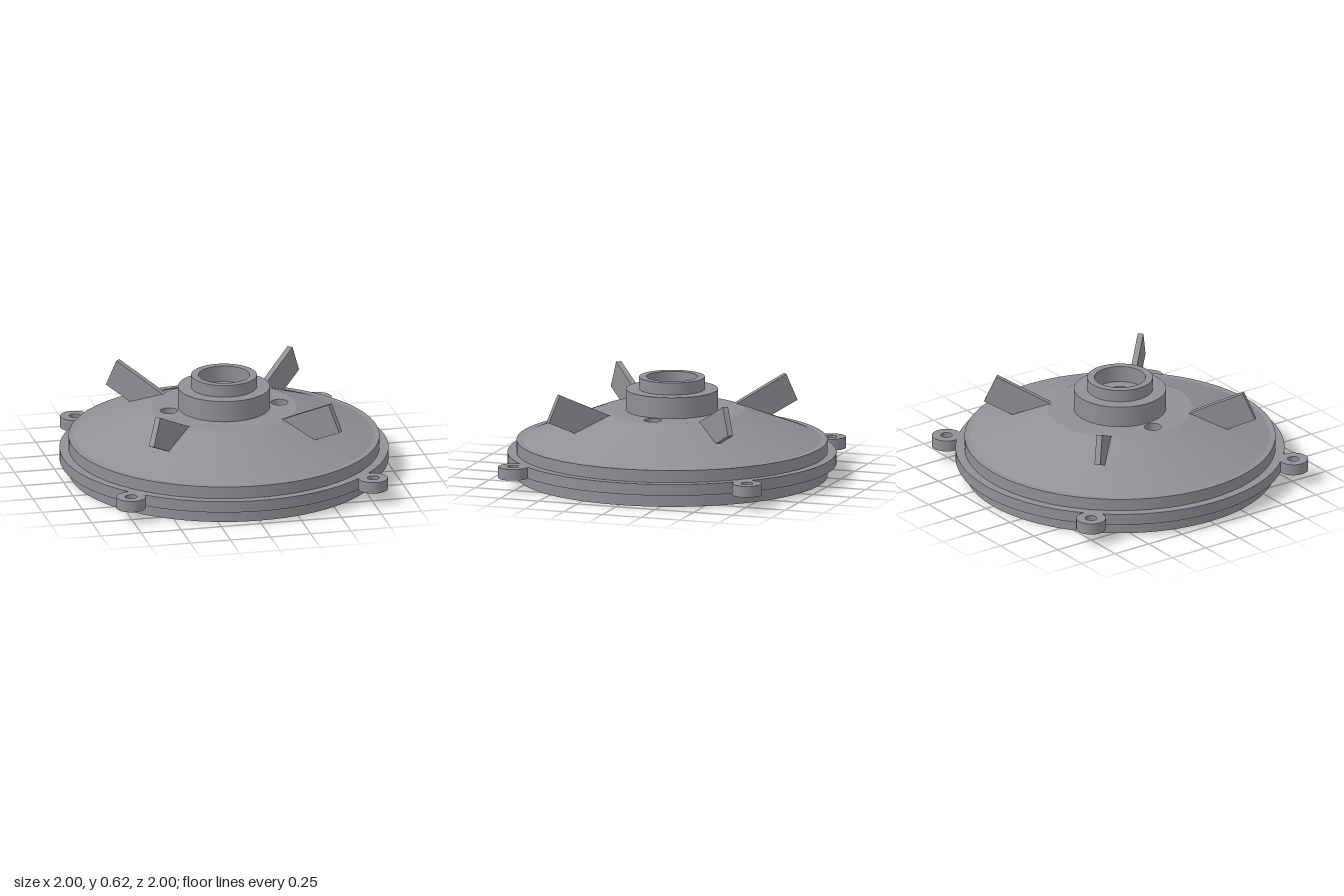
import * as THREE from 'three';
import { toCreasedNormals } from 'three/addons/utils/BufferGeometryUtils.js';

const grey = new THREE.MeshStandardMaterial({ color: 0x909195 });
grey.name = 'grey';

const TAU = Math.PI * 2;

export function createModel() {
  const model = new THREE.Group();
  model.name = 'coverPlate';

  const add = (name, geometry, crease = 0.3) => {
    const mesh = new THREE.Mesh(toCreasedNormals(geometry, crease), grey);
    mesh.name = name;
    model.add(mesh);
    return mesh;
  };
  const lathe = (points, segments) =>
    new THREE.LatheGeometry(points.map(([r, y]) => new THREE.Vector2(r, y)), segments);

  // Flat plate of the given outline standing between two heights, with round holes
  const plate = (outerX, outerR, holes, bottom, top, curveSegments) => {
    const shape = new THREE.Shape().absarc(outerX, 0, outerR, 0, TAU, false);
    for (const [x, r] of holes) shape.holes.push(new THREE.Path().absarc(x, 0, r, 0, TAU, true));
    const geometry = new THREE.ExtrudeGeometry(shape, { depth: top - bottom, bevelEnabled: false, curveSegments });
    return geometry.rotateX(-Math.PI / 2).translate(0, bottom, 0);
  };

  // Skirt, flange and hollow cone
  add('shell', lathe([
    [0.925, 0], [0.945, 0], [0.945, 0.08], [1, 0.08], [1, 0.15], [0.945, 0.15],
    [0.945, 0.225], [0.91, 0.225], [0.44, 0.41], [0.44, 0.315], [0.925, 0.125], [0.925, 0],
  ], 128));

  // Flat top of the cone with two through holes
  add('topPlate', plate(0, 0.44, [[0, 0.19], [-0.345, 0.052], [0.345, 0.052]], 0.315, 0.41, 64));

  // Stepped hub with a recessed top and a through bore
  add('hub', lathe([
    [0.083, 0], [0.2, 0], [0.2, 0.4], [0.28, 0.4], [0.28, 0.54], [0.2, 0.54],
    [0.2, 0.615], [0.155, 0.615], [0.155, 0.515], [0.083, 0.515], [0.083, 0],
  ], 96));

  // Tilted fins passing through the cone, drawn in the radial plane
  const finShape = new THREE.Shape([
    [0.29, 0.349], [0.37, 0.19], [0.835, 0.4], [0.76, 0.567],
  ].map(([r, y]) => new THREE.Vector2(r, y)));
  const fin = new THREE.ExtrudeGeometry(finShape, { depth: 0.035, bevelEnabled: false });
  fin.translate(0, 0, -0.0175);

  // Mounting ears with screw holes
  const ear = plate(1.068, 0.09, [[1.068, 0.035]], 0.08, 0.15, 32);

  for (let i = 0; i < 4; i++) {
    const angle = Math.PI * (0.25 + i / 2);
    add('fin', fin).rotation.y = angle;
    add('mountingEar', ear).rotation.y = angle;
  }
  return model;
}
